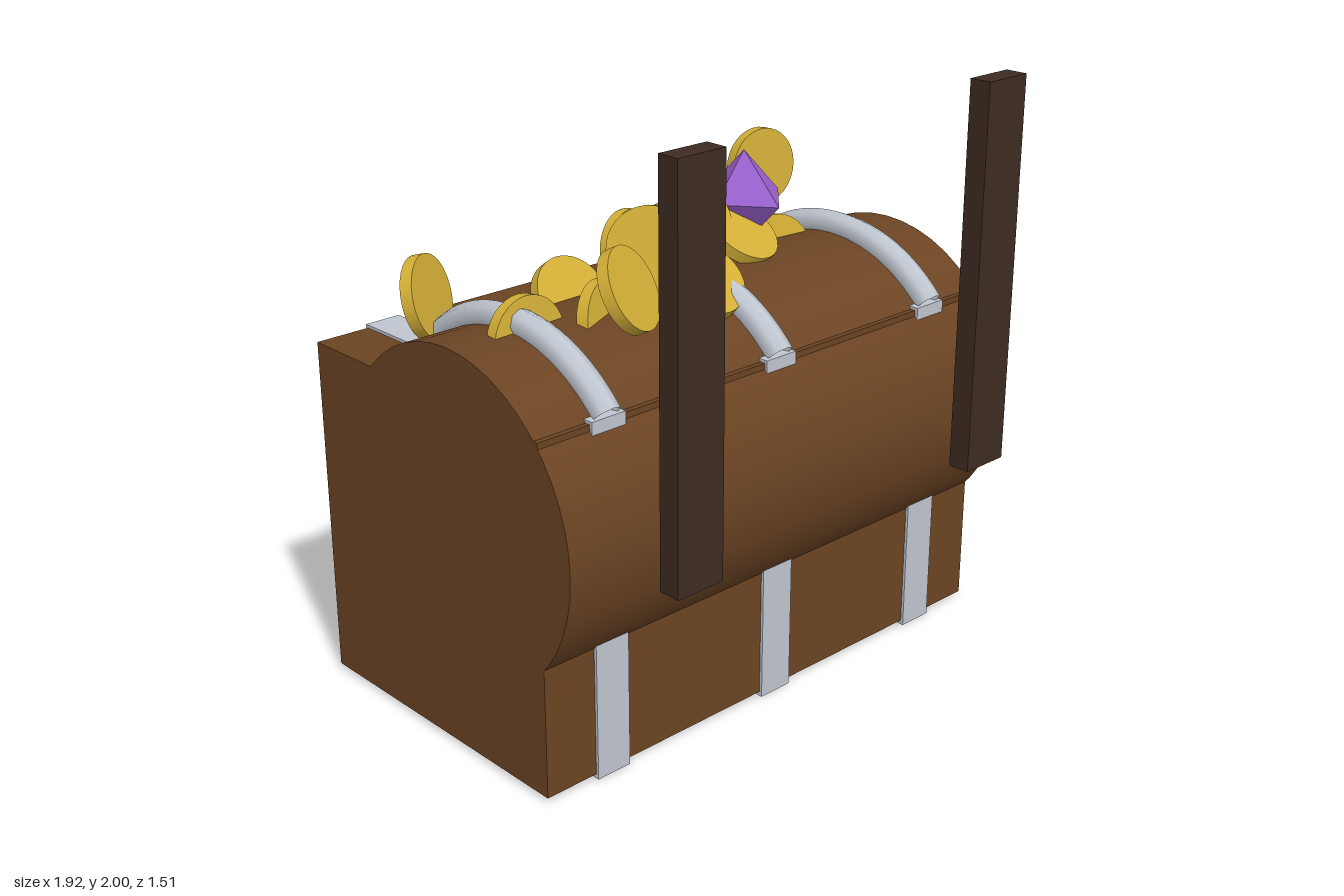
import * as THREE from 'three';

function material(name, color, extra = {}) {
  return new THREE.MeshStandardMaterial({ name, color, ...extra });
}

export function createModel() {
  const chest = new THREE.Group();
  chest.name = 'treasureChest';

  const wood = material('wood', 0x6b4423);
  const darkWood = material('darkWood', 0x3e2c22);
  const silver = material('silver', 0xc0c6d0, { side: THREE.DoubleSide });
  const gold = material('gold', 0xd4af37);
  const purple = material('purple', 0x9b62d0);
  const gemPurple = purple;

  function add(name, geometry, mat) {
    const mesh = new THREE.Mesh(geometry, mat);
    mesh.name = name;
    chest.add(mesh);
    return mesh;
  }
  // Box given by its lower and upper corners
  function box(name, [x0, y0, z0], [x1, y1, z1], mat) {
    const mesh = add(name, new THREE.BoxGeometry(x1 - x0, y1 - y0, z1 - z0), mat);
    mesh.position.set((x0 + x1) / 2, (y0 + y1) / 2, (z0 + z1) / 2);
    return mesh;
  }

  // Body and the barrel lid bulging from its front and top
  const lidY = 0.8, lidZ = 0.02;
  box('body', [-0.96, 0.015, -0.665], [0.96, 1.17, 0.43], wood);
  const lid = add('barrelLid', new THREE.CylinderGeometry(0.54, 0.54, 1.92, 48).rotateZ(Math.PI / 2), wood);
  lid.position.set(0, lidY, lidZ);

  // Metal straps around the body with round arches over the lid
  const arc = 1.64;
  const arch = new THREE.TorusGeometry(0.56, 0.046, 8, 24, arc)
    .rotateZ(Math.PI / 2 - arc / 2).rotateY(Math.PI / 2);
  for (const x of [-0.705, 0, 0.705]) {
    box('strap', [x - 0.064, 0, -0.675], [x + 0.064, 1.18, 0.44], silver);
    add('strapArch', arch, silver).position.set(x, lidY, lidZ);
  }

  // Lock on the back
  box('lockPlate', [-0.153, 0.81, -0.71], [0.153, 1.145, -0.66], silver);
  box('lockStone', [-0.05, 0.88, -0.755], [0.05, 1.0, -0.7], purple);

  // Upright posts standing off the front
  for (const side of [-1, 1]) {
    const post = box('post', [-0.088, 0.72, 0.677], [0.088, 2, 0.752], darkWood);
    post.position.x = side * 0.64;
  }

  // Large gem, slightly shorter towards one side
  const gemShape = new THREE.OctahedronGeometry(0.166);
  const p = gemShape.attributes.position;
  for (let i = 0; i < p.count; i++) if (p.getX(i) < 0) p.setX(i, p.getX(i) * 0.78);
  gemShape.computeVertexNormals();
  add('gem', gemShape, gemPurple).position.set(0.385, 1.49, -0.12);

  // Scattered coins: centre, then the direction each face looks
  const coinShape = new THREE.CylinderGeometry(0.136, 0.136, 0.04, 32);
  const up = new THREE.Vector3(0, 1, 0);
  const coins = [
    [[-0.72, 1.33, -0.4], [0.5, 0.25, 0.83]],
    [[0.77, 1.47, -0.42], [-0.12, 0.08, 0.99]],
    [[0.11, 1.31, -0.385], [0.19, 0.15, 0.97]],
    [[-0.38, 1.32, -0.11], [0.05, 0.6, 0.8]],
    [[-0.43, 1.44, 0.22], [0.38, 0.45, 0.8]],
    [[-0.41, 1.3, 0.09], [0.33, 0.2, 0.92]],
    [[-0.68, 1.3, 0.04], [0.04, 0.12, 0.99]],
    [[-0.2, 1.48, 0.06], [-0.75, 0.25, 0.6]],
    [[-0.085, 1.38, 0.18], [0, 0.75, 0.65]],
    [[0.03, 1.42, -0.08], [-0.8, 0.15, 0.57]],
    [[0.14, 1.48, -0.09], [0.08, 0.6, 0.8]],
    [[0.29, 1.41, -0.04], [0.15, 0.8, 0.58]],
    [[0.52, 1.27, -0.1], [-0.2, 0.2, 0.96]],
  ];
  for (const [centre, facing] of coins) {
    const coin = add('coin', coinShape, gold);
    coin.position.set(...centre);
    coin.quaternion.setFromUnitVectors(up, new THREE.Vector3(...facing).normalize());
  }

  return chest;
}
